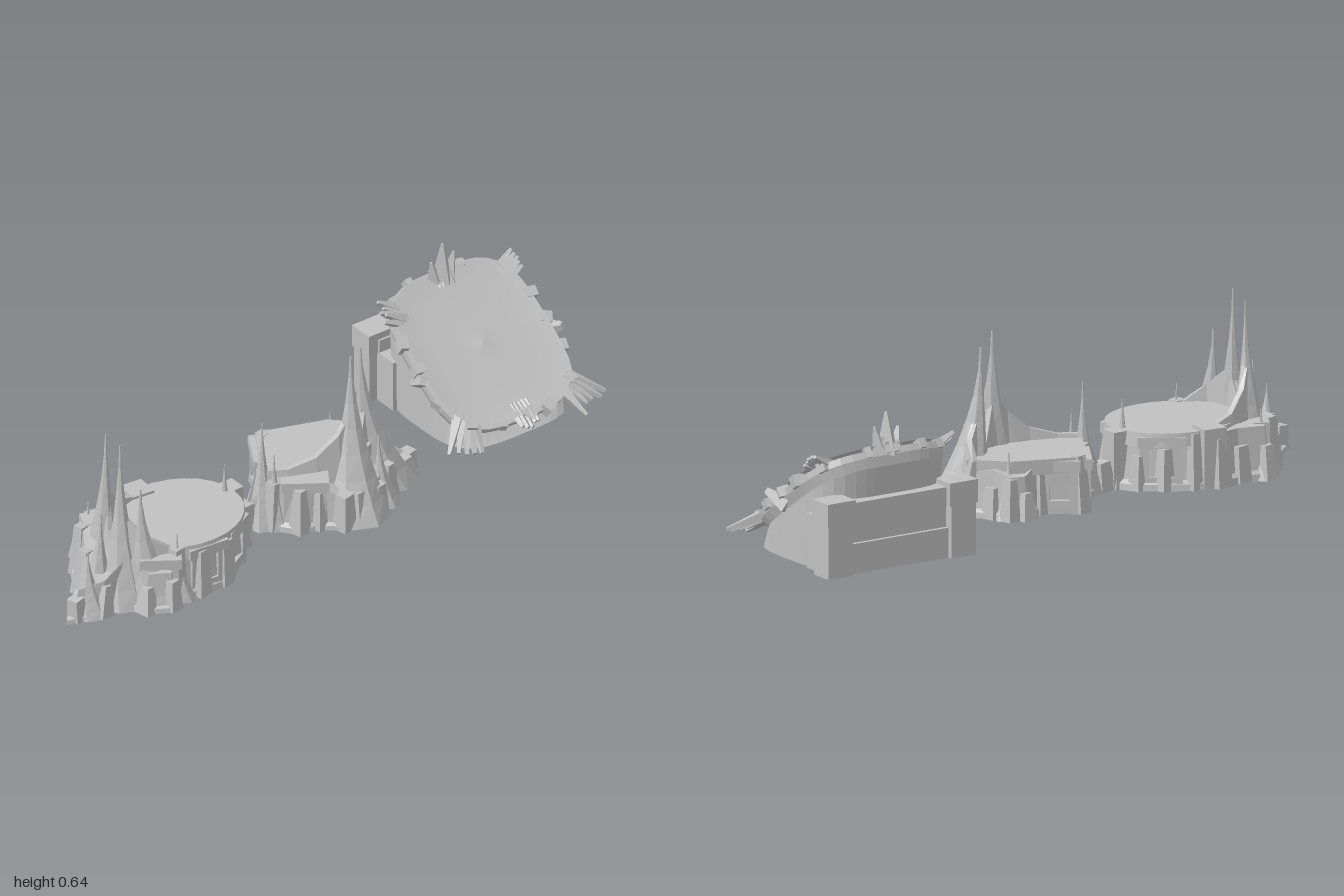
import * as THREE from 'three';

const stone = new THREE.MeshStandardMaterial({ color: 0xc0c0c0, side: THREE.DoubleSide });
stone.name = 'grey stone';
const V = (x, y, z) => new THREE.Vector3(x, y, z);

let seed = 7;
const rand = (a, b) => {
  seed = (seed * 16807) % 2147483647;
  return a + (b - a) * (seed / 2147483647);
};

function add(parent, name, geometry) {
  const mesh = new THREE.Mesh(geometry, stone);
  mesh.name = name;
  parent.add(mesh);
  return mesh;
}

// Skin over closed rings of points, capped at both ends, with flat facets
function loft(rings) {
  const p = [];
  const tri = (...vs) => vs.forEach((v) => p.push(v.x, v.y, v.z));
  const n = rings[0].length;
  const mid = (r) => r.reduce((s, v) => s.add(v), V(0, 0, 0)).divideScalar(n);
  const first = rings[0], last = rings[rings.length - 1];
  const c0 = mid(first), c1 = mid(last);
  for (let i = 0; i < n; i++) {
    const j = (i + 1) % n;
    for (let k = 0; k + 1 < rings.length; k++) {
      const a = rings[k], b = rings[k + 1];
      tri(a[i], b[i], a[j]);
      tri(a[j], b[i], b[j]);
    }
    tri(c0, first[i], first[j]);
    tri(c1, last[j], last[i]);
  }
  const g = new THREE.BufferGeometry();
  g.setAttribute('position', new THREE.Float32BufferAttribute(p, 3));
  g.computeVertexNormals();
  return g;
}

// Concave thorn: a wide base sweeping up to a thin tip
function spike(parent, base, tip, h, rx, rz) {
  const rings = [0, 0.12, 0.25, 0.4, 0.55, 0.7, 0.86, 1].map((t) => {
    const k = 0.03 + 0.97 * Math.pow(1 - t, 1.65);
    const m = 1 - Math.pow(1 - t, 2);
    return Array.from({ length: 7 }, (_, i) => {
      const a = (i / 7) * Math.PI * 2 + t * 0.5;
      return V(base[0] + (tip[0] - base[0]) * m + Math.cos(a) * rx * k, h * t,
        base[1] + (tip[1] - base[1]) * m + Math.sin(a) * rz * k);
    });
  });
  add(parent, 'spike', loft(rings));
}

// Curved wall whose top follows the heights in [x, z, height]
function rampart(parent, pts, thick) {
  const rings = pts.map(([x, z, h], i) => {
    const a = pts[Math.max(0, i - 1)], b = pts[Math.min(pts.length - 1, i + 1)];
    const d = Math.hypot(b[0] - a[0], b[1] - a[1]);
    const nx = (a[1] - b[1]) / d * thick, nz = (b[0] - a[0]) / d * thick;
    return [V(x + nx, 0.02, z + nz), V(x + nx * 0.2, h, z + nz * 0.2),
      V(x - nx * 0.2, h, z - nz * 0.2), V(x - nx, 0.02, z - nz)];
  });
  add(parent, 'rampart', loft(rings));
}

// Tapered four-sided bar between two points
function bar(parent, name, from, to, r0, r1) {
  const dir = to.clone().sub(from);
  const g = new THREE.CylinderGeometry(r1, r0, dir.length(), 4).toNonIndexed();
  g.computeVertexNormals();
  const m = add(parent, name, g);
  m.position.copy(from).add(to).multiplyScalar(0.5);
  m.quaternion.setFromUnitVectors(V(0, 1, 0), dir.normalize());
}

function box(parent, name, w, h, d, x, y, z) {
  const m = add(parent, name, new THREE.BoxGeometry(w, h, d));
  m.position.set(x, y, z);
  return m;
}

// Post and lintel frame around a shallow niche
function doorway(parent, x, z, angle, w) {
  const g = new THREE.Group();
  g.name = 'doorway';
  for (const s of [-1, 1]) box(g, 'doorPost', 0.03, 0.17, 0.07, s * w / 2, 0.085, 0);
  box(g, 'lintel', w + 0.05, 0.04, 0.08, 0, 0.175, 0);
  box(g, 'doorSill', w, 0.03, 0.07, 0, 0.035, 0);
  g.position.set(x, 0, z);
  g.rotation.y = angle;
  parent.add(g);
}

// Rocky platform from corners [x, z, wall height]: slab, wall and buttresses
function platform(name, outline, cx, cz) {
  const g = new THREE.Group();
  g.name = name;
  const ring = (k, y) => outline.map(([x, z, h = 0.2]) => V(cx + (x - cx) * k, y * h, cz + (z - cz) * k));
  add(g, 'groundSlab', loft([ring(0.98, 0), ring(0.97, 0.12), ring(0.9, 0.2)]));
  add(g, 'rockWall', loft([ring(0.92, 0.1), ring(0.89, 0.5), ring(0.86, 0.97), ring(0.7, 1)]));
  outline.forEach(([x, z, h = 0.2]) => {
    const b = rand(0.87, 0.91), e = rand(0.84, 0.89);
    bar(g, 'buttress', V(cx + (x - cx) * b, 0, cz + (z - cz) * b),
      V(cx + (x - cx) * e, h * rand(0.6, 1.1), cz + (z - cz) * e), rand(0.035, 0.05), rand(0.02, 0.035));
  });
  return g;
}

function roundPlatform() {
  const g = platform('roundPlatform', [[-1.01, 0.92, 0.12], [-0.97, 0.72, 0.18], [-0.975, 0.58], [-0.96, 0.46],
    [-0.85, 0.42], [-0.77, 0.34], [-0.67, 0.3], [-0.55, 0.29], [-0.45, 0.29], [-0.36, 0.33], [-0.33, 0.42],
    [-0.35, 0.54], [-0.4, 0.68], [-0.5, 0.75], [-0.6, 0.79], [-0.62, 0.86, 0.15], [-0.72, 0.87, 0.15],
    [-0.8, 0.82], [-0.9, 0.89, 0.14]], -0.62, 0.56);
  const floor = add(g, 'ovalFloor', new THREE.CylinderGeometry(1, 1.03, 0.05, 28));
  floor.scale.set(0.25, 1, 0.215);
  floor.rotation.y = 0.59;
  floor.position.set(-0.585, 0.185, 0.53);
  spike(g, [-0.79, 0.77], [-0.8, 0.73], 0.63, 0.09, 0.085);
  spike(g, [-0.86, 0.58], [-0.845, 0.625], 0.61, 0.09, 0.12);
  spike(g, [-0.68, 0.79], [-0.73, 0.77], 0.47, 0.1, 0.07);
  spike(g, [-0.91, 0.83], [-0.92, 0.84], 0.25, 0.075, 0.075);
  spike(g, [-0.89, 0.75], [-0.87, 0.75], 0.36, 0.075, 0.08);
  spike(g, [-0.41, 0.38], [-0.41, 0.39], 0.32, 0.06, 0.06);
  spike(g, [-0.58, 0.76], [-0.6, 0.76], 0.27, 0.05, 0.04);
  spike(g, [-0.91, 0.49], [-0.9, 0.5], 0.25, 0.06, 0.06);
  rampart(g, [[-0.72, 0.4, 0.21], [-0.79, 0.47, 0.24], [-0.83, 0.54, 0.31], [-0.845, 0.61, 0.4],
    [-0.83, 0.67, 0.23], [-0.79, 0.74, 0.34], [-0.71, 0.77, 0.27], [-0.62, 0.75, 0.21]], 0.05);
  doorway(g, -0.5, 0.69, 0.5, 0.11);
  doorway(g, -0.4, 0.57, 1.1, 0.1);
  doorway(g, -0.66, 0.775, 0, 0.1);
  doorway(g, -0.55, 0.34, 0, 0.12);
  box(g, 'cornerTower', 0.09, 0.22, 0.09, -0.72, 0.11, 0.375).rotation.y = 0.5;
  box(g, 'cornerTower', 0.07, 0.2, 0.08, -0.89, 0.1, 0.53).rotation.y = 0.2;
  box(g, 'cornerTower', 0.07, 0.21, 0.07, -0.39, 0.105, 0.36).rotation.y = 0.6;
  return g;
}

function pointedPlatform() {
  const g = platform('pointedPlatform', [[-0.37, 0.34, 0.1], [-0.33, 0.27], [-0.29, 0.13], [-0.29, 0],
    [-0.13, -0.02], [-0.07, -0.11, 0.16], [-0.01, -0.135, 0.16], [0.06, -0.09, 0.18], [0.17, -0.05, 0.16],
    [0.31, -0.075, 0.07], [0.29, 0, 0.08], [0.22, 0.13, 0.13], [0.17, 0.24, 0.13], [0.09, 0.32, 0.13],
    [0.03, 0.36, 0.13], [-0.07, 0.35, 0.16], [-0.15, 0.375, 0.16], [-0.26, 0.34]], -0.06, 0.13);
  add(g, 'upperFloor', loft([0.15, 0.205].map((y) => [V(-0.28, y, 0.01), V(-0.02, y, -0.06), V(0.14, y, -0.03),
    V(0.15, y, 0.05), V(0.08, y, 0.2), V(-0.1, y, 0.27), V(-0.27, y, 0.29)])));
  spike(g, [0.06, 0.25], [0.05, 0.18], 0.62, 0.13, 0.11);
  spike(g, [0.18, 0.03], [0.09, 0.07], 0.59, 0.12, 0.09);
  spike(g, [-0.27, 0.29], [-0.27, 0.275], 0.41, 0.065, 0.065);
  spike(g, [-0.22, 0.31], [-0.23, 0.31], 0.3, 0.05, 0.045);
  spike(g, [0.17, 0.17], [0.15, 0.17], 0.28, 0.06, 0.06);
  spike(g, [-0.01, -0.07], [-0.01, -0.06], 0.24, 0.06, 0.06);
  rampart(g, [[-0.27, 0.28, 0.22], [-0.18, 0.275, 0.22], [-0.08, 0.25, 0.25], [0, 0.22, 0.32],
    [0.05, 0.185, 0.4], [0.08, 0.125, 0.22], [0.1, 0.07, 0.36], [0.13, 0, 0.27], [0.11, -0.04, 0.2]], 0.05);
  doorway(g, -0.12, 0.3, 0, 0.12);
  doorway(g, -0.26, 0.1, -1.5, 0.13);
  doorway(g, -0.19, 0.02, 0, 0.1);
  return g;
}

function tiltedDish() {
  const g = new THREE.Group();
  g.name = 'tiltedDish';
  // Point on the sloping dish plane: across, down the slope, and out from it
  const P = (u, t, w) => V(u, 0.24 - 0.56 * t + 0.83 * w, 0.335 + 0.83 * t + 0.56 * w);
  const N = 48;
  const edge = (i, k) => {
    const a = (i / N) * Math.PI * 2, c = Math.abs(Math.cos(a)), s = Math.abs(Math.sin(a));
    const r = k / Math.pow(c ** 3.6 + s ** 3.6, 1 / 3.6);
    return [0.29 * r * Math.cos(a), 0.315 * r * Math.sin(a)];
  };
  const ring = (k, w) => Array.from({ length: N }, (_, i) => P(...edge(i, k), w));
  const foot = ring(0.98, 0).map((p) => V(p.x * 0.97, 0, Math.max(0.08, p.z)));
  const waist = ring(0.95, -0.05).map((p) => V(p.x, Math.max(0.02, p.y), p.z));

  // Body and rim
  add(g, 'dishBody', loft([foot, waist, ring(1, -0.015), ring(1, 0.01), ring(0.95, 0.01)]));

  // Smooth hollow face
  const face = new THREE.RingGeometry(0.001, 0.97, N, 10);
  const pos = face.attributes.position;
  for (let i = 0; i < pos.count; i++) {
    const r = Math.hypot(pos.getX(i), pos.getY(i));
    const a = Math.atan2(pos.getY(i), pos.getX(i)) / (Math.PI * 2) * N;
    const p = P(...edge(a, r), 0.014 + 0.012 * r ** 4 + 0.006 * Math.exp(-((r / 0.08) ** 2)));
    pos.setXYZ(i, p.x, p.y, p.z);
  }
  face.setIndex(Array.from(face.index.array).reverse());
  face.computeVertexNormals();
  add(g, 'dishFace', face);

  // Blocks round the rim
  for (let i = 0; i < N; i += 3) {
    const [u, t] = edge(i + rand(-0.5, 0.5), 0.98);
    const m = box(g, 'rimBlock', rand(0.025, 0.05), rand(0.03, 0.05), rand(0.025, 0.05), 0, 0, 0);
    m.position.copy(P(u, t, 0.005));
    m.rotation.set(0.59, rand(-0.5, 0.5), 0);
  }

  // Claw clusters at the corners and the middle of each edge
  const claws = (u, t, du, dt, w, len) => {
    for (let i = -2; i <= 2; i++) {
      const l = len * rand(0.75, 1.05);
      const tip = P(u + (du - dt * i * 0.3) * l, t + (dt + du * i * 0.3) * l, w * rand(0.5, 1.1));
      tip.y = Math.max(0.02, tip.y);
      bar(g, 'claw', P(u * 0.88 - dt * i * 0.015, t * 0.88 + du * i * 0.015, 0), tip, 0.026, 0.008);
    }
  };
  for (const s of [-1, 1]) {
    claws(s * 0.24, 0.26, s * 0.4, 0.85, 0, 0.12);
    claws(s * 0.24, -0.23, s * 0.9, -0.15, 0.04, 0.07);
    bar(g, 'sideFin', P(s * 0.27, 0.02, -0.04), P(s * 0.31, 0.06, 0.04), 0.04, 0.015);
  }
  claws(0, 0.29, 0, 1, 0.02, 0.07);
  claws(0, -0.29, 0, -1, 0.05, 0.04);
  bar(g, 'crest', P(0, -0.28, 0), V(0, 0.55, 0.11), 0.05, 0.006);
  bar(g, 'crest', P(0.03, -0.28, 0), V(0.05, 0.5, 0.11), 0.035, 0.006);
  bar(g, 'crest', P(-0.03, -0.28, 0), V(-0.05, 0.49, 0.11), 0.035, 0.006);

  // Back wall
  box(g, 'backWall', 0.56, 0.25, 0.07, 0, 0.125, 0.075);
  box(g, 'cornice', 0.5, 0.07, 0.07, 0, 0.225, 0.06);
  box(g, 'wallBase', 0.5, 0.11, 0.07, 0, 0.055, 0.06);
  for (const s of [-1, 1]) {
    box(g, 'endPillar', 0.105, 0.2, 0.09, s * 0.262, 0.1, 0.052);
    box(g, 'pillarCap', 0.12, 0.085, 0.1, s * 0.26, 0.235, 0.052);
    box(g, 'sideButtress', 0.05, 0.2, 0.09, s * 0.258, 0.1, 0.15);
  }
  g.position.set(0.36, 0, -0.74);
  g.rotation.y = 0.593;
  return g;
}

export function createModel() {
  seed = 7;
  const model = new THREE.Group();
  model.name = 'rockArena';
  model.add(roundPlatform(), pointedPlatform(), tiltedDish());
  return model;
}
